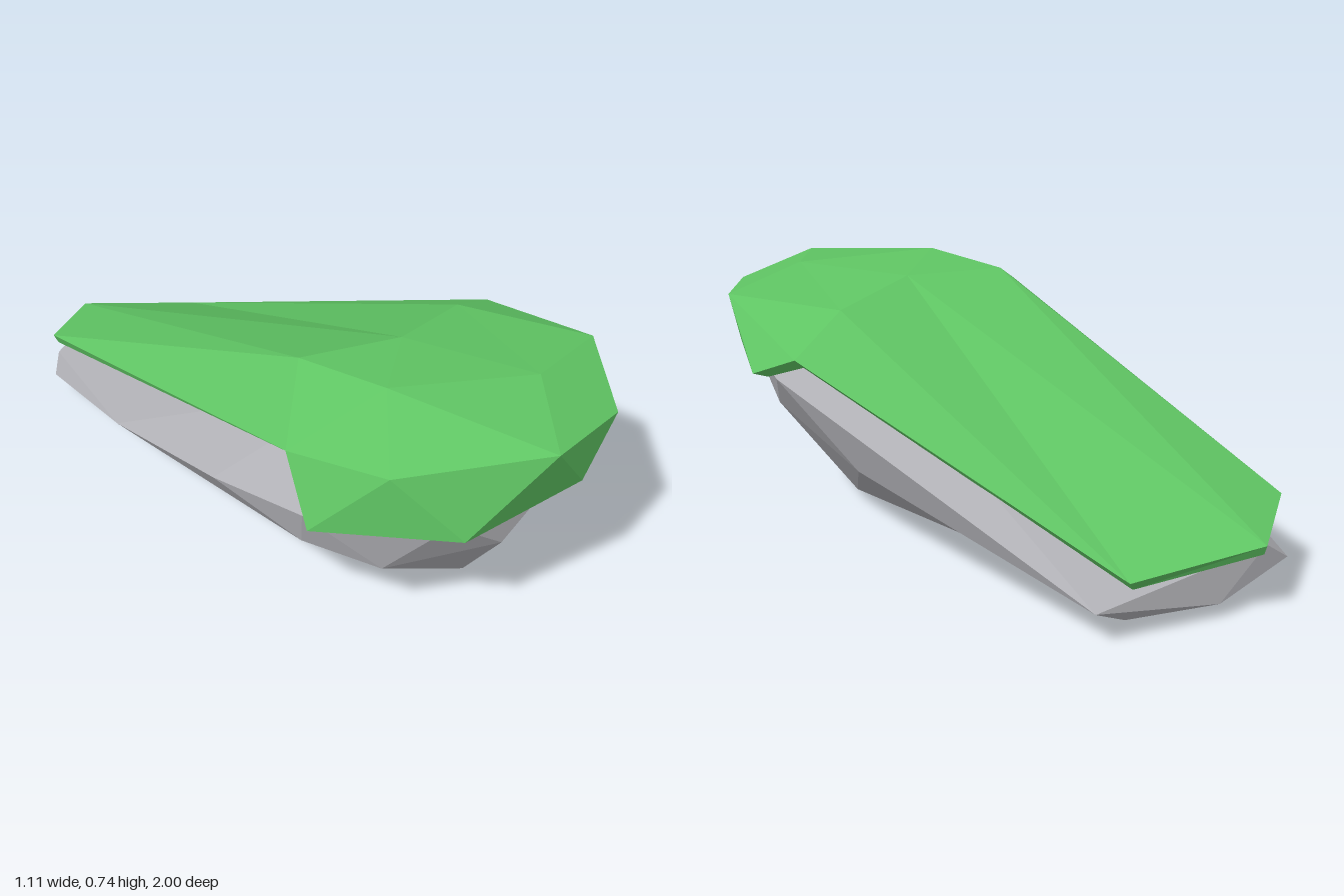
import * as THREE from 'three';
import { ConvexGeometry } from 'three/addons/geometries/ConvexGeometry.js';

const material = (color) => new THREE.MeshStandardMaterial({ color, flatShading: true, side: THREE.DoubleSide });
const vec = (p) => new THREE.Vector3(...p);

function flatGeometry(points) {
  const geometry = new THREE.BufferGeometry().setFromPoints(points);
  geometry.computeVertexNormals();
  return geometry;
}

// Corner triples joining successive rings; repeated corners collapse away
function loft(rings) {
  const out = [];
  const tri = (a, b, c) => {
    const area = b.clone().sub(a).cross(c.clone().sub(a)).length();
    if (area > 1e-6) out.push(a, b, c);
  };
  for (let k = 0; k + 1 < rings.length; k++) {
    const outer = rings[k], inner = rings[k + 1], n = outer.length;
    for (let i = 0; i < n; i++) {
      const j = (i + 1) % n;
      tri(outer[i], inner[i], outer[j]);
      tri(outer[j], inner[i], inner[j]);
    }
  }
  return out;
}

// Faceted boulder with a shallow hollow underneath and a crease on its left side
function makeRock() {
  const opening = [[-0.085, 0.065, 0.7], [0.227, 0.045, 0.42], [0.227, 0, -0.5], [-0.085, 0.025, 0.1]].map(vec);
  const hollow = [[-0.05, 0.12, 0.62], [0.19, 0.075, 0.35], [0.19, 0.035, -0.42], [-0.05, 0.13, 0.11]].map(vec);
  const side = vec([0.455, 0.25, 0.18]), tail = vec([0.505, 0.11, -0.735]), heel = vec([0.39, 0.05, -0.75]);
  const lower = [
    [-0.15, 0.3, 0.85], [0.14, 0.26, 0.75], [0.38, 0.35, 0.6],
    [0.15, 0.05, -0.9], [-0.08, 0.13, -0.975], [-0.15, 0.095, -0.925],
    [-0.35, 0.19, 0.08], [-0.28, 0.13, 0.37], [-0.37, 0.22, 0.6], [-0.48, 0.295, 0.4],
  ].map(vec);
  const upper = [
    [0, 0.5, 0.93], [0.34, 0.505, 0.75], [0.51, 0.495, 0.46], [-0.31, 0.43, 0.78],
    [-0.505, 0.415, 0.42], [-0.515, 0.4, 0.11], [-0.39, 0.28, -0.39],
    [0, 0.19, -0.95], [0, 0.67, 0.39], [0.28, 0.63, 0.38], [-0.24, 0.68, 0.4], [0.08, 0.64, 0.74],
  ].map(vec);
  const hull = new ConvexGeometry([...opening, side, tail, heel, ...lower, ...upper]).getAttribute('position');
  const has = (face, p) => face.some((q) => q.distanceTo(p) < 1e-4);
  const [, knee, foot] = opening;
  const faces = [];
  for (let i = 0; i < hull.count; i += 3) {
    const face = [0, 1, 2].map((k) => new THREE.Vector3().fromBufferAttribute(hull, i + k));
    const inOpening = face.every((p) => has(opening, p));
    const acrossCrease = has(face, knee) && (has(face, tail) || has(face, heel));
    if (!inOpening && !acrossCrease) faces.push(...face);
  }
  // Crease fanned from the foot
  const edge = [knee, side, tail, heel];
  for (let i = 0; i < 3; i++) faces.push(foot, edge[i + 1], edge[i]);
  // Hollow walls and ceiling
  const centre = hollow.map(() => hollow[0]);
  faces.push(...loft([opening, hollow, centre]));
  return flatGeometry(faces);
}

// Moss cap: tucked-under lip, drooping rim, shoulder ring and crown
function makeMoss() {
  const ridge = [0, 0.72, 0.39], right = [-0.26, 0.72, 0.22], left = [0.3, 0.675, 0.39];
  const front = [0.09, 0.715, 0.79], crown = [-0.25, 0.74, 0.51], brow = [-0.15, 0.68, 0.99];
  const corner = [0.4, 0.675, 0.79], cheek = [-0.43, 0.61, 0.65];
  const notch = [0.515, 0.575, 0.37], rightNotch = [-0.5, 0.61, 0.36], chin = [0, 0.5, 0.995];
  const rim = [
    [0.09, 0.235, -1], [0.4, 0.17, -0.77], notch, notch, [0.55, 0.51, 0.52], [0.345, 0.51, 0.81],
    chin, chin, [-0.34, 0.43, 0.84], [-0.555, 0.425, 0.475], rightNotch, rightNotch, [-0.16, 0.275, -0.9],
  ].map(vec);
  const shoulder = [
    ridge, left, left, corner, corner, [0.16, 0.64, 1],
    brow, brow, cheek, cheek, rightNotch, right, right,
  ].map(vec);
  const inner = [
    ridge, ridge, front, front, front, front, front, crown, crown, crown, crown, crown, ridge,
  ].map(vec);
  const top = rim.map(() => vec(crown));
  const lip = rim.map((p) => {
    const facesFront = p.z > 0.45;
    const drop = p.z > 0.7 ? 0.002 : facesFront ? 0.012 : 0.03;
    return new THREE.Vector3(p.x * 0.94, p.y - drop, p.z * (facesFront ? 0.94 : 0.99));
  });
  return flatGeometry(loft([lip, rim, shoulder, inner, top]));
}

export function createModel() {
  const group = new THREE.Group();
  group.name = 'mossyRock';
  const rock = new THREE.Mesh(makeRock(), material(0xb0b0b5));
  rock.name = 'rock';
  const moss = new THREE.Mesh(makeMoss(), material(0x5fc463));
  moss.name = 'mossCap';
  group.add(rock, moss);
  return group;
}
